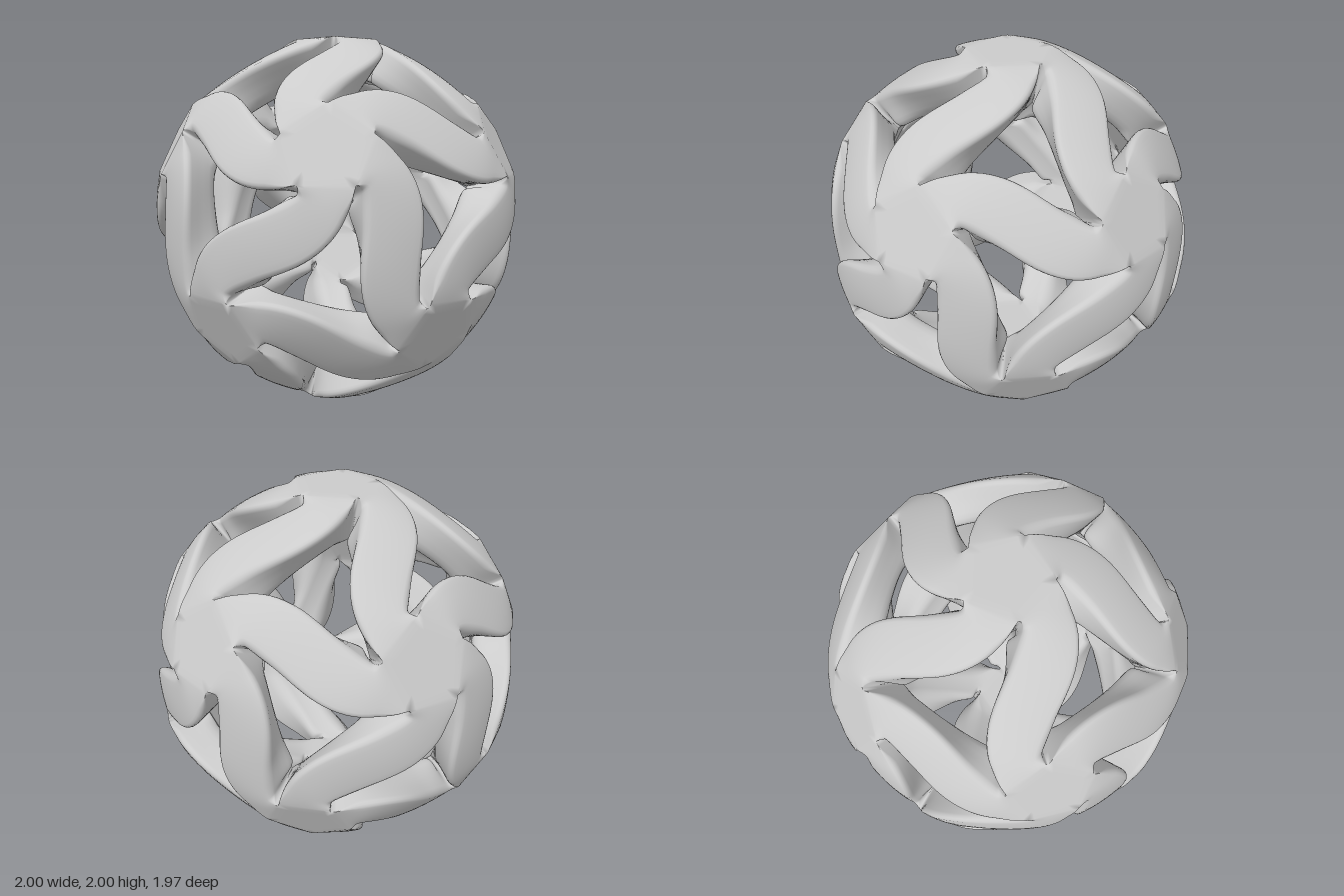
import * as THREE from 'three';
import { mergeVertices } from 'three/addons/utils/BufferGeometryUtils.js';

const TAN36 = Math.tan(Math.PI / 5);
const NOTCH = 0.18;      // length of the straight, wedge-shaped hub part of an arm
const DEPTH = 0.22;      // radial thickness
const HUB_ROWS = 4, ARM_ROWS = 18;

// The twelve hub directions: two poles and two staggered rings of five
function hubDirections() {
  const list = [new THREE.Vector3(0, 1, 0), new THREE.Vector3(0, -1, 0)];
  const y = 1 / Math.sqrt(5), r = 2 * y;
  for (let k = 0; k < 5; k++) {
    for (const s of [1, -1]) {
      const a = THREE.MathUtils.degToRad(18 * s + 72 * k);
      list.push(new THREE.Vector3(r * Math.sin(a), s * y, r * Math.cos(a)));
    }
  }
  return list;
}

// Closed rounded section as [lateral, depth] pairs, symmetric left and right
function section(hw, ro, ri) {
  const half = [];
  for (let k = 0; k <= 4; k++) half.push([(hw - ro) * k / 4, 0]);
  for (let k = 1; k <= 4; k++) {
    const t = k * Math.PI / 8;
    half.push([hw - ro + ro * Math.sin(t), ro - ro * Math.cos(t)]);
  }
  for (let k = 1; k <= 3; k++) half.push([hw, ro + (DEPTH - ro - ri) * k / 3]);
  for (let k = 1; k <= 4; k++) {
    const t = k * Math.PI / 8;
    half.push([hw - ri + ri * Math.cos(t), DEPTH - ri + ri * Math.sin(t)]);
  }
  for (let k = 3; k >= 0; k--) half.push([(hw - ri) * k / 4, DEPTH]);
  const mirrored = half.slice(1, -1).reverse().map(([a, q]) => [-a, q]);
  return half.concat(mirrored);
}

// Rows of one half arm, from hub centre H to the middle of the edge towards G
function armRows(H, G) {
  const M = H.clone().add(G).normalize();
  const toG = G.clone().addScaledVector(H, -G.dot(H)).normalize();
  const u = toG.applyAxisAngle(H, Math.PI / 5);
  const cross = G.clone().addScaledVector(M, -G.dot(M)).normalize()
    .applyAxisAngle(M, THREE.MathUtils.degToRad(-39));
  const onPlane = d => {
    const p = H.clone().addScaledVector(u, d);
    return p.divideScalar(p.dot(M));
  };
  const path = new THREE.CubicBezierCurve3(
    onPlane(NOTCH), onPlane(NOTCH + 0.17), M.clone().addScaledVector(cross, -0.18), M);
  const rows = [];

  // Flat wedge that meets its four neighbours at the hub
  for (let i = 0; i <= HUB_ROWS; i++) {
    const d = NOTCH * i / HUB_ROWS;
    rows.push({
      C: H.clone().addScaledVector(u, d), v: H.clone().cross(u),
      hw: d * TAN36, ramp: 0, shift: 0, hub: true,
    });
  }
  // Bent part, crossing the edge line at its middle
  const rHub = Math.hypot(1, NOTCH);
  for (let i = 1; i <= ARM_ROWS; i++) {
    const t = Math.pow(i / ARM_ROWS, 1.15);
    const N = path.getPoint(t).normalize();
    const T = path.getTangent(t);
    T.addScaledVector(N, -T.dot(N)).normalize();
    const broad = THREE.MathUtils.lerp(0.12, 0.15, THREE.MathUtils.smoothstep(t, 0, 0.8));
    rows.push({
      C: N.clone().multiplyScalar(THREE.MathUtils.lerp(rHub, 0.985, THREE.MathUtils.smoothstep(t, 0, 1))),
      v: N.clone().cross(T),
      hw: broad + (NOTCH * TAN36 - 0.12) * Math.exp(-t / 0.06),
      ramp: THREE.MathUtils.smoothstep(t, 0, 0.25),
      shift: -0.07 * Math.sin(Math.PI * t),   // walls flare on the inside of the bend
      hub: false,
    });
  }
  return rows;
}

// Append one half arm to the shared buffers
function addHalfArm(H, G, positions, indices) {
  const rows = armRows(H, G);
  const base = positions.length / 3;
  const sections = rows.map(r => section(r.hw, 0.035 * r.ramp, 0.07 * r.ramp));
  const n = sections[0].length;
  rows.forEach((r, i) => {
    for (const [a, q] of sections[i]) {
      const crown = r.hw > 0 ? 0.012 * r.ramp * (a / r.hw) ** 2 : 0;
      const p = r.C.clone().addScaledVector(r.v, a)
        .multiplyScalar(1 - q - crown)
        .addScaledVector(r.v, r.shift * q / DEPTH);
      positions.push(p.x, p.y, p.z);
    }
  });
  for (let i = 0; i + 1 < rows.length; i++) {
    const atWall = j => Math.abs(sections[i + 1][j][0]) > rows[i + 1].hw - 1e-6;
    for (let j = 0; j < n; j++) {
      const k = (j + 1) % n;
      // Neighbouring wedges share their sides, so no walls inside a hub
      if (rows[i + 1].hub && atWall(j) && atWall(k)) continue;
      const a = base + i * n + j, b = base + i * n + k;
      const c = a + n, d = b + n;
      indices.push(a, c, d);
      indices.push(a, d, b);
    }
  }
}

export function createModel() {
  const group = new THREE.Group();
  group.name = 'latticeSphere';

  const hubs = hubDirections();
  const positions = [], indices = [];
  for (const H of hubs) {
    for (const G of hubs) {
      const dot = H.dot(G);
      if (dot > 0.4 && dot < 0.5) addHalfArm(H, G, positions, indices);
    }
  }

  let geometry = new THREE.BufferGeometry();
  geometry.setAttribute('position', new THREE.Float32BufferAttribute(positions, 3));
  geometry.setIndex(indices);
  geometry = mergeVertices(geometry, 1e-4);
  geometry.computeVertexNormals();
  geometry.translate(0, 1, 0);

  const lattice = new THREE.Mesh(geometry,
    new THREE.MeshStandardMaterial({ color: 0xcccccc, side: THREE.DoubleSide }));
  lattice.name = 'swirlingArms';
  group.add(lattice);
  return group;
}
